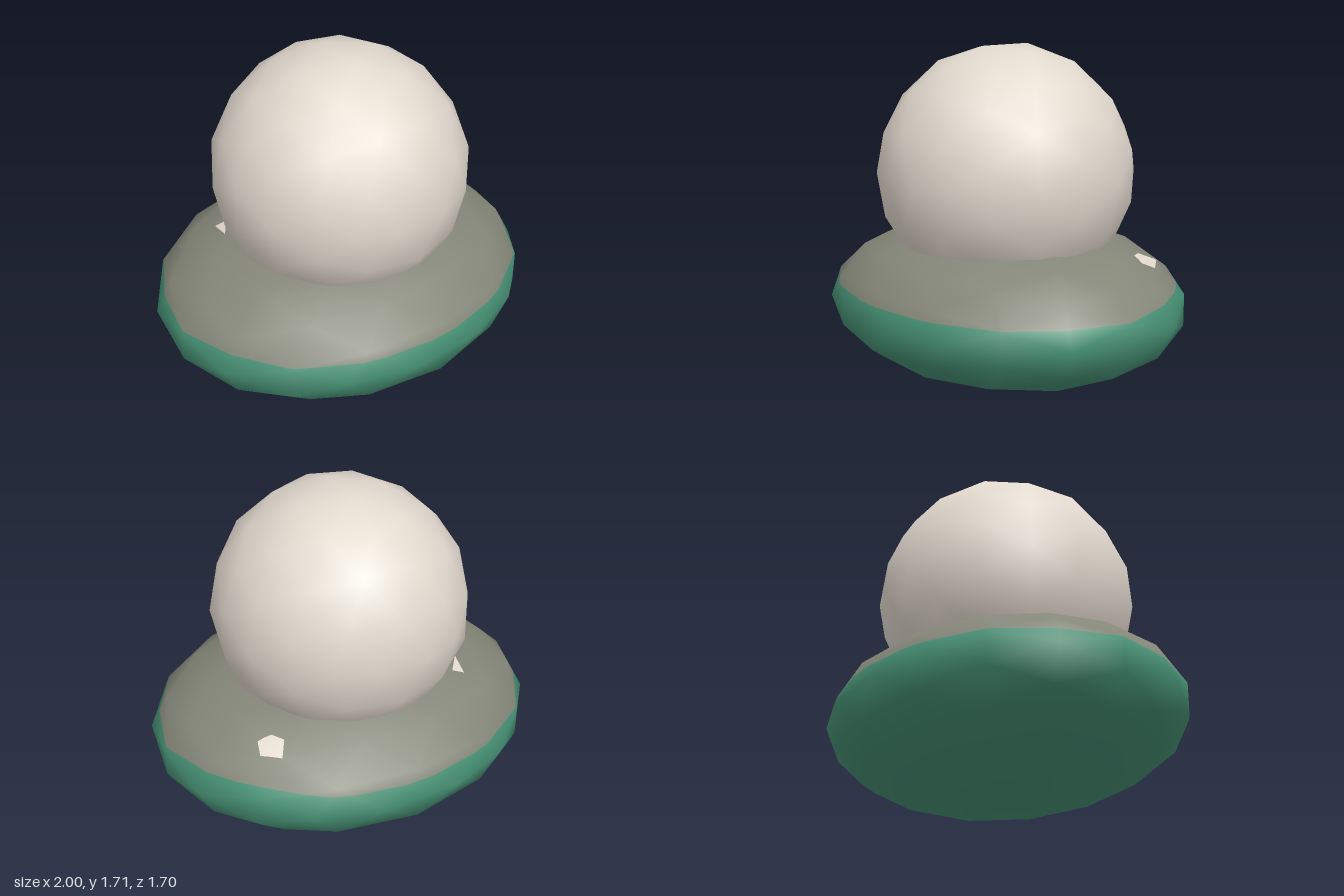
import * as THREE from 'three';

const material = (name, color, options = {}) => {
  const m = new THREE.MeshStandardMaterial({ color, ...options });
  m.name = name;
  return m;
};

// Triangles of a coarse ball, as arrays of three points
function ballTriangles(centre, radii) {
  const position = new THREE.IcosahedronGeometry(1, 2).rotateY(Math.PI / 2).getAttribute('position');
  const triangles = [];
  for (let i = 0; i < position.count; i += 3) {
    triangles.push([0, 1, 2].map((k) =>
      new THREE.Vector3().fromBufferAttribute(position, i + k).multiply(radii).add(centre)));
  }
  return triangles;
}

// Keep the part of every triangle where the rule is positive
function clip(triangles, rule) {
  const kept = [];
  for (const tri of triangles) {
    const ring = [];
    tri.forEach((a, i) => {
      const b = tri[(i + 1) % 3];
      const fa = rule(a), fb = rule(b);
      if (fa >= 0) ring.push(a);
      if ((fa >= 0) !== (fb >= 0)) ring.push(a.clone().lerp(b, fa / (fa - fb)));
    });
    for (let i = 1; i + 1 < ring.length; i++) kept.push([ring[0], ring[i], ring[i + 1]]);
  }
  return kept;
}

// Mesh with smooth ellipsoid normals, optionally lifted off the surface
function surface(name, triangles, centre, radii, mat, lift = 0) {
  const positions = [], normals = [];
  for (const p of triangles.flat()) {
    const n = p.clone().sub(centre).divide(radii).divide(radii).normalize();
    positions.push(...p.clone().addScaledVector(n, lift).toArray());
    normals.push(...n.toArray());
  }
  const geometry = new THREE.BufferGeometry();
  geometry.setAttribute('position', new THREE.Float32BufferAttribute(positions, 3));
  geometry.setAttribute('normal', new THREE.Float32BufferAttribute(normals, 3));
  const mesh = new THREE.Mesh(geometry, mat);
  mesh.name = name;
  return mesh;
}

// Cut a convex patch, given by its plan outline [x, z], out of a surface
function patch(triangles, outline) {
  const midX = outline.reduce((s, p) => s + p[0], 0) / outline.length;
  const midZ = outline.reduce((s, p) => s + p[1], 0) / outline.length;
  return outline.reduce((rest, [x, z], i) => {
    const [nx, nz] = outline[(i + 1) % outline.length];
    const side = (px, pz) => (nx - x) * (pz - z) - (nz - z) * (px - x);
    const sign = Math.sign(side(midX, midZ));
    return clip(rest, (p) => sign * side(p.x, p.z));
  }, triangles);
}

export function createModel() {
  const model = new THREE.Group();
  model.name = 'ballOnCushion';
  const cream = material('cream', 0xe2d9ce);
  const green = material('green', 0x469074);
  const olive = material('oliveGrey', 0x848678);

  // Upper ball
  const ballCentre = new THREE.Vector3(0, 1.06, 0);
  const ballRadii = new THREE.Vector3(0.66, 0.66, 0.66);
  model.add(surface('ball', ballTriangles(ballCentre, ballRadii), ballCentre, ballRadii, cream));

  // Flattened cushion, split along a slightly wavy colour line
  const centre = new THREE.Vector3(0, 0.4, 0);
  const radii = new THREE.Vector3(1.02, 0.408, 0.867);
  const cushion = ballTriangles(centre, radii);
  const aboveLine = (p) => {
    const bump = Math.exp(-((p.x - 0.75) ** 2 + (p.z + 0.5) ** 2) / 0.1);
    return p.y - 0.49 - 0.035 * bump;
  };
  const top = clip(cushion, aboveLine);
  model.add(surface('cushionBase', clip(cushion, (p) => -aboveLine(p)), centre, radii, green));
  model.add(surface('cushionTop', top, centre, radii, olive));

  // Small pale flecks on the cushion top
  const flecks = [
    [[0.59, -0.51], [0.67, -0.43], [0.65, -0.36], [0.58, -0.37], [0.54, -0.43]],
    [[-0.53, -0.28], [-0.45, -0.38], [-0.51, -0.4]],
  ];
  for (const outline of flecks) {
    model.add(surface('fleck', patch(top, outline), centre, radii, cream, 0.005));
  }
  return model;
}
